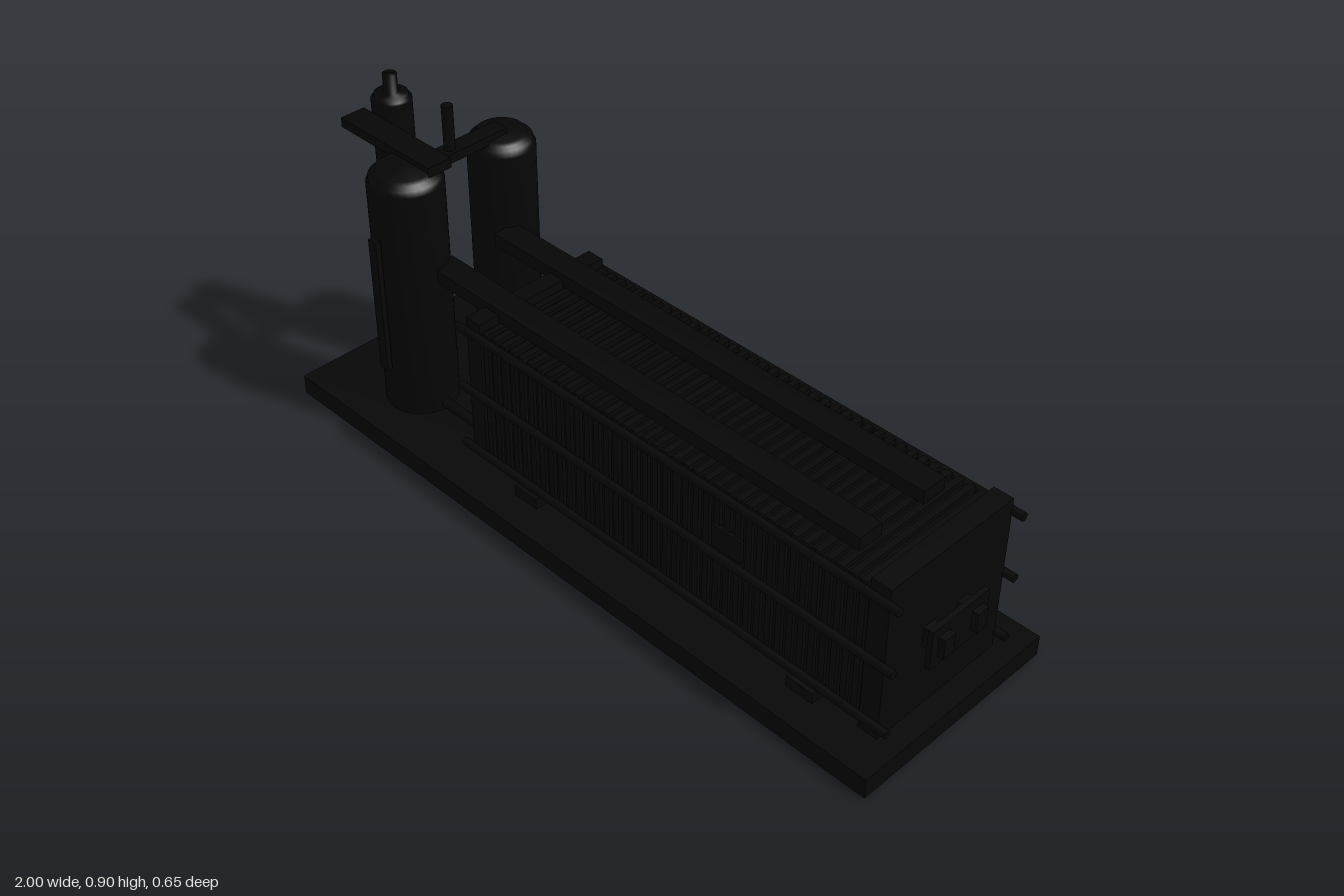
import * as THREE from 'three';

export function createModel() {
  const root = new THREE.Group();
  root.name = 'processSkid';
  const black = new THREE.MeshStandardMaterial({ color: 0x060606 });
  black.name = 'black';
  const midZ = 0.012; // centre line of the machinery

  function add(name, geometry, parent = root) {
    const mesh = new THREE.Mesh(geometry, black);
    mesh.name = name;
    parent.add(mesh);
    return mesh;
  }
  // Box given by its limits on each axis
  function box(name, x0, x1, y0, y1, z0, z1, parent) {
    const mesh = add(name, new THREE.BoxGeometry(x1 - x0, y1 - y0, z1 - z0), parent);
    mesh.position.set((x0 + x1) / 2, (y0 + y1) / 2, (z0 + z1) / 2);
    return mesh;
  }
  // Round bar between two points
  function bar(name, a, b, r, parent) {
    const p = new THREE.Vector3(...a), q = new THREE.Vector3(...b);
    const mesh = add(name, new THREE.CylinderGeometry(r, r, p.distanceTo(q), 20), parent);
    mesh.position.copy(p).add(q).multiplyScalar(0.5);
    mesh.quaternion.setFromUnitVectors(new THREE.Vector3(0, 1, 0), q.sub(p).normalize());
    return mesh;
  }
  // Upright vessel turned from a stepped profile
  function vessel(name, x, z, profile) {
    const points = profile.map(([r, y]) => new THREE.Vector2(r, y));
    const mesh = add(name, new THREE.LatheGeometry(points, 32));
    mesh.position.set(x, 0, z);
    return mesh;
  }

  box('basePlate', -1, 1, 0, 0.058, -0.296, 0.323);

  // Vessels
  vessel('frontVessel', -0.69, 0.157, [
    [0, 0.086], [0.098, 0.086], [0.098, 0.752], [0.092, 0.754], [0.092, 0.768],
    [0.073, 0.772], [0.073, 0.786], [0, 0.79],
  ]);
  vessel('rearVessel', -0.69, -0.155, [
    [0, 0.086], [0.09, 0.086], [0.09, 0.726], [0.083, 0.728], [0.083, 0.744],
    [0.066, 0.748], [0.066, 0.76], [0, 0.763],
  ]);
  vessel('slimColumn', -0.915, midZ, [
    [0, 0.058], [0.053, 0.058], [0.053, 0.832], [0.044, 0.834], [0.044, 0.846],
    [0.019, 0.848], [0.019, 0.9], [0, 0.9],
  ]);
  box('sightGauge', -0.705, -0.675, 0.226, 0.62, 0.26, 0.275);
  box('sideGauge', -0.796, -0.78, 0.226, 0.62, 0.145, 0.17);

  // Overhead ducts and vent
  box('columnDuct', -0.965, -0.62, 0.775, 0.802, 0.065, 0.138);
  box('crossDuct', -0.715, -0.665, 0.75, 0.776, -0.155, 0.12);
  bar('ventStack', [-0.69, 0.76, midZ], [-0.69, 0.9, midZ], 0.015);

  // Plate pack with a head plate at each end
  const press = new THREE.Group();
  press.name = 'platePack';
  root.add(press);
  box('packCore', -0.37, 0.89, 0.095, 0.472, -0.183, 0.205, press);
  const plates = 38;
  for (let i = 0; i < plates; i++) {
    const x = -0.345 + (i * 1.21) / (plates - 1);
    box('packPlate', x - 0.009, x + 0.009, 0.086, 0.484, -0.192, 0.214, press);
  }
  box('innerHead', -0.41, -0.36, 0.086, 0.505, -0.195, 0.217, press);
  box('outerHead', 0.885, 0.94, 0.058, 0.507, -0.195, 0.217, press);

  // Tie rods
  for (const z of [-0.2, 0.222])
    for (const y of [0.1, 0.285, 0.468])
      bar('tieRod', [-0.44, y, z], [0.97, y, z], 0.011, press);

  // Ducts along the roof
  for (const side of [-1, 1]) {
    const z = midZ + side * 0.107;
    box('roofDuct', -0.62, 0.8, 0.485, 0.522, z - 0.036, z + 0.036);
  }

  // Feet and control panel
  for (const x of [-0.19, 0.73]) box('foot', x - 0.04, x + 0.04, 0.058, 0.09, -0.19, 0.24);
  box('controlPanel', 0.43, 0.52, 0.305, 0.37, 0.21, 0.22);

  // Connector frame on the outer head
  box('connectorPlate', 0.968, 0.982, 0.225, 0.34, -0.085, 0.11);
  for (const z of [-0.045, 0.07]) box('connector', 0.94, 1, 0.255, 0.312, z - 0.018, z + 0.018);

  // Cabinets along the rear
  box('largeCabinet', -0.325, -0.13, 0.058, 0.265, -0.288, -0.195);
  box('cabinetCap', -0.31, -0.145, 0.265, 0.283, -0.28, -0.2);
  for (let i = 0; i < 6; i++) {
    const x = -0.3 + i * 0.029;
    box('coolingFin', x - 0.005, x + 0.005, 0.08, 0.25, -0.292, -0.286);
  }
  box('smallCabinet', -0.018, 0.062, 0.058, 0.225, -0.285, -0.2);
  box('valveBox', 0.2, 0.25, 0.058, 0.1, -0.285, -0.22);
  box('valvePost', 0.198, 0.222, 0.058, 0.14, -0.323, -0.275);

  // Pump
  box('pumpBase', -0.522, -0.36, 0.058, 0.168, -0.28, -0.19);
  bar('pumpMotor', [-0.467, 0.167, -0.295], [-0.467, 0.167, -0.19], 0.045);
  box('pumpOutlet', -0.48, -0.455, 0.058, 0.14, -0.323, -0.275);
  bar('pumpPipe', [-0.63, 0.102, -0.19], [-0.5, 0.102, -0.19], 0.014);
  bar('feedPipe', [-0.63, 0.102, 0.157], [-0.4, 0.102, 0.157], 0.014);

  return root;
}
